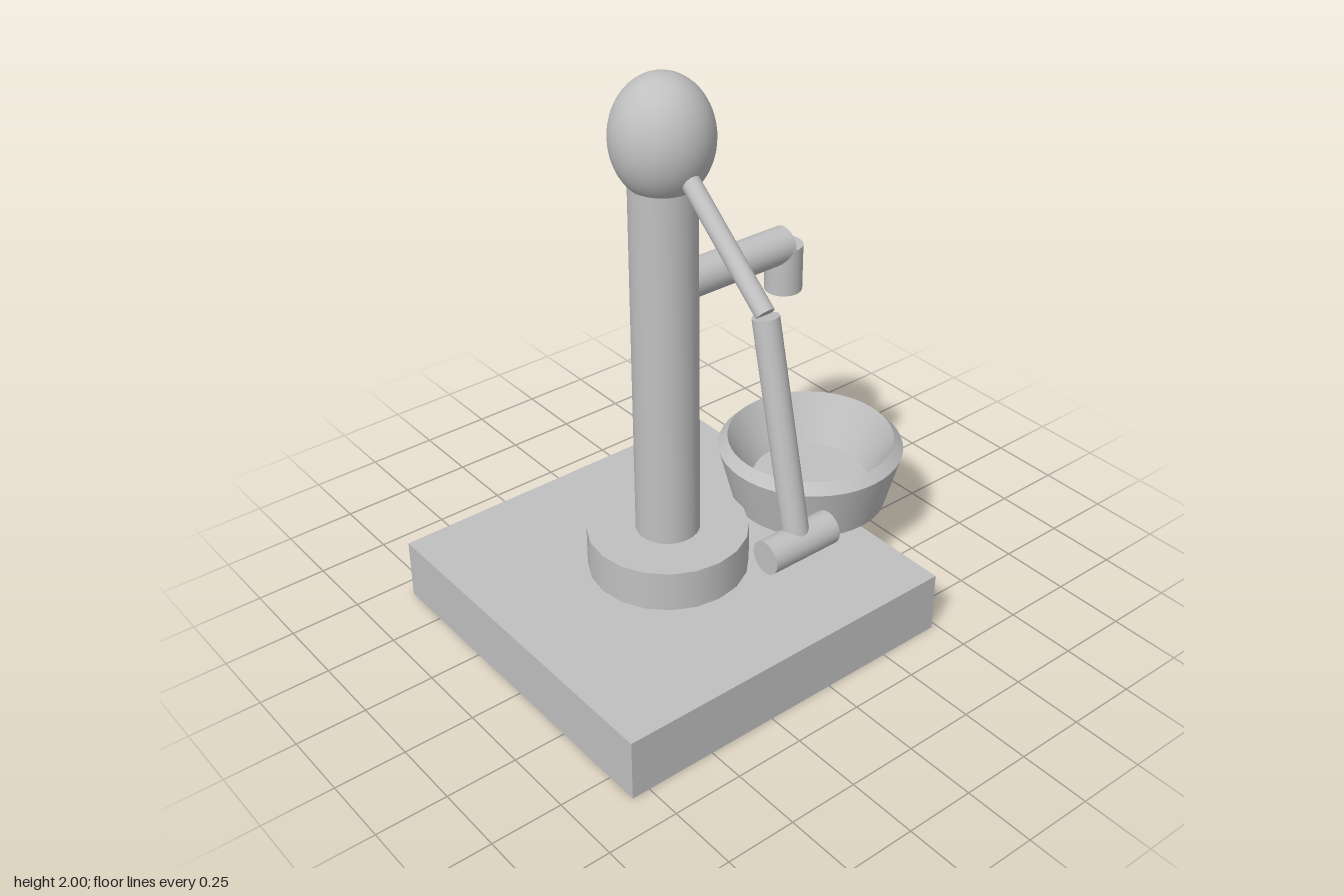
import * as THREE from 'three';

export function createModel() {
  const group = new THREE.Group();
  const grey = new THREE.MeshStandardMaterial({ color: 0xc0c0c0 });
  grey.name = 'grey';
  const CX = -0.03, CZ = 0.167; // pump axis

  const add = (name, geometry, x = 0, y = 0, z = 0) => {
    const mesh = new THREE.Mesh(geometry, grey);
    mesh.name = name;
    mesh.position.set(x, y, z);
    group.add(mesh);
    return mesh;
  };

  // Cylinder between two points
  const rod = (name, a, b, radius, sides = 32) => {
    const from = new THREE.Vector3(...a), to = new THREE.Vector3(...b);
    const dir = to.clone().sub(from);
    const mesh = add(name, new THREE.CylinderGeometry(radius, radius, dir.length(), sides));
    mesh.position.copy(from).add(to).multiplyScalar(0.5);
    mesh.quaternion.setFromUnitVectors(new THREE.Vector3(0, 1, 0), dir.normalize());
    return mesh;
  };

  // Base slab, collar and column
  add('base', new THREE.BoxGeometry(1.294, 0.222, 1.294), CX, 0.111, CZ);
  rod('collar', [CX, 0.222, CZ], [CX, 0.37, CZ], 0.277, 20);
  rod('column', [CX, 0.37, CZ], [CX, 1.7, CZ], 0.11);

  // Egg-shaped cap
  add('cap', new THREE.SphereGeometry(1, 48, 32), CX, 1.797, CZ).scale.set(0.166, 0.203, 0.166);

  // Bent handle with a cross grip
  rod('handleUpper', [0.03, 1.762, CZ], [0.453, 1.398, CZ], 0.031);
  rod('handleLower', [0.455, 1.391, CZ], [0.619, 0.67, CZ], 0.0425);
  rod('handleGrip', [0.619, 0.67, CZ - 0.128], [0.619, 0.67, CZ + 0.128], 0.055);

  // Spout and its downturned nozzle
  rod('spout', [CX, 1.28, CZ], [CX, 1.28, -0.333], 0.0625);
  rod('nozzle', [CX, 1.116, -0.333], [CX, 1.28, -0.333], 0.064);

  // Bowl: each band is its own lathe so the rim edges stay sharp
  const profile = [[0, 0.222], [0.278, 0.222], [0.332, 0.431], [0.298, 0.467], [0.206, 0.295], [0, 0.295]];
  const bands = ['bowlUnderside', 'bowlOuterWall', 'bowlRim', 'bowlInnerWall', 'bowlFloor'];
  bands.forEach((name, i) => {
    const points = [profile[i], profile[i + 1]].map(([r, y]) => new THREE.Vector2(r, y));
    add(name, new THREE.LatheGeometry(points, 48), CX, 0, -0.482);
  });

  return group;
}
